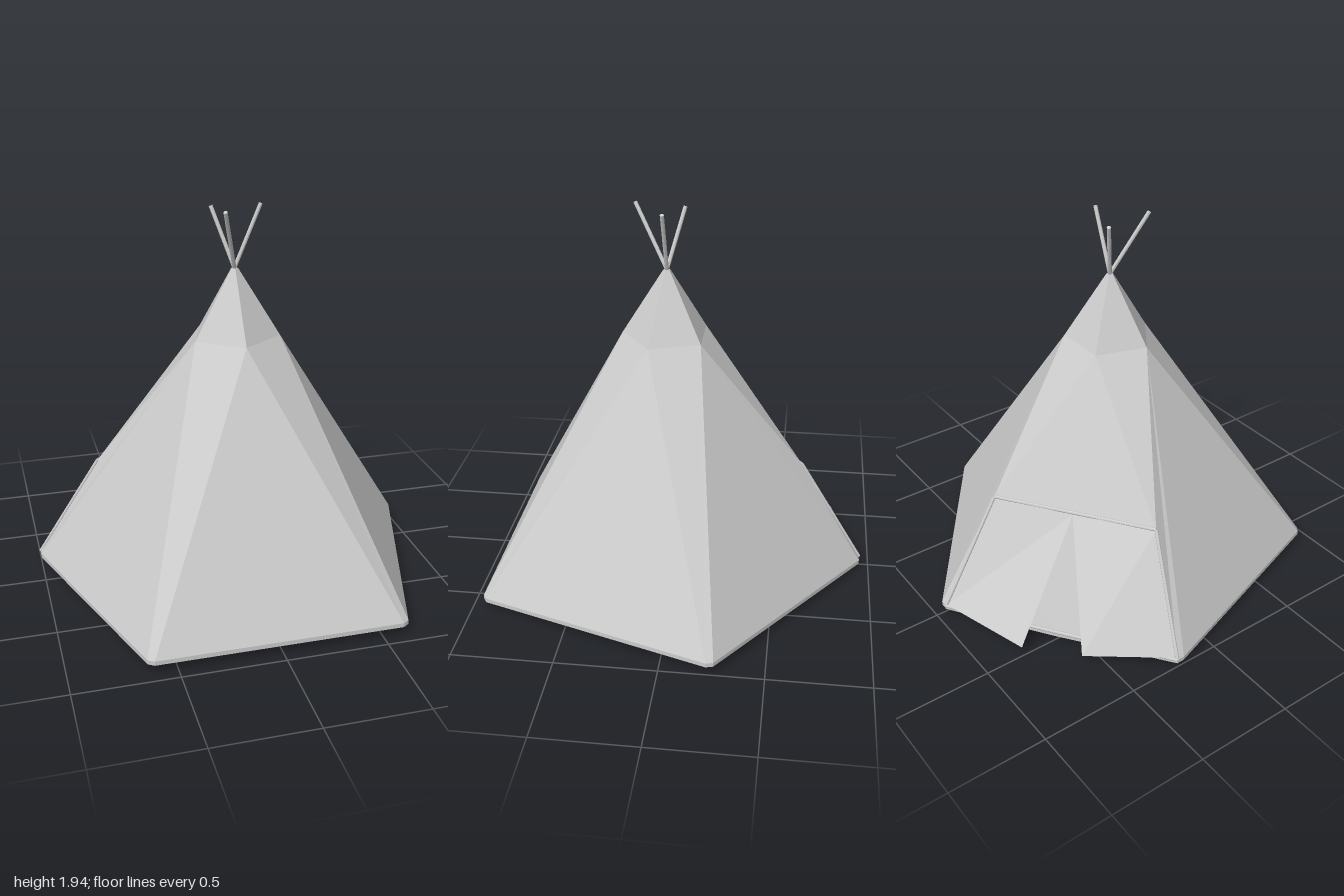
import * as THREE from 'three';

const material = new THREE.MeshStandardMaterial({ color: 0xcccccc, flatShading: true, side: THREE.DoubleSide });
const V = (x, y, z) => new THREE.Vector3(x, y, z);

// Flat panels: every polygon is a list of corners, counter-clockwise from outside
function panels(name, polygons) {
  const points = [];
  for (const p of polygons)
    for (let i = 1; i < p.length - 1; i++) points.push(p[0], p[i], p[i + 1]);
  const geometry = new THREE.BufferGeometry().setFromPoints(points);
  geometry.computeVertexNormals();
  const mesh = new THREE.Mesh(geometry, material);
  mesh.name = name;
  return mesh;
}

// Straight round rod between two points
function rod(name, a, b, radius, sides = 8) {
  const dir = b.clone().sub(a);
  const mesh = new THREE.Mesh(new THREE.CylinderGeometry(radius, radius, dir.length(), sides), material);
  mesh.position.copy(a).lerp(b, 0.5);
  mesh.quaternion.setFromUnitVectors(V(0, 1, 0), dir.normalize());
  mesh.name = name;
  return mesh;
}

export function createModel() {
  const group = new THREE.Group();

  // Five-sided foot with clipped corners: two points per corner
  const foot = [
    [V(-0.64, 0.065, 0.925), V(-0.61, 0.065, 0.945)],
    [V(0.6, 0.065, 0.945), V(0.63, 0.065, 0.925)],
    [V(1.0, 0.065, -0.225), V(0.99, 0.065, -0.26)],
    [V(0.03, 0.045, -0.95), V(-0.01, 0.045, -0.95)],
    [V(-1.0, 0.045, -0.235), V(-1.0, 0.045, -0.195)],
  ];

  // Shoulder and crown rings, turned half a side against the foot
  const ring = (radius, y) => foot.map((_, i) => {
    const a = i * Math.PI * 0.4;
    return V(-0.008 + radius * Math.sin(a), y, 0.08 + radius * Math.cos(a));
  });
  const shoulder = ring(0.225, 1.29);
  const crown = ring(0.018, 1.625);

  // Top corners of the doorway in the side between corners 3 and 4
  const doorA = V(0, 0.59, -0.625);
  const doorB = V(-0.685, 0.59, -0.135);
  const door = 3;

  const walls = [], corners = [], cap = [];
  for (let i = 0; i < 5; i++) {
    const next = (i + 1) % 5, prev = (i + 4) % 5;
    if (i === door) walls.push([doorA, doorB, shoulder[i]]);
    else walls.push([foot[i][1], foot[next][0], shoulder[i]]);
    if (i === door) {
      corners.push([foot[i][0], foot[i][1], doorA, shoulder[prev]], [doorA, shoulder[i], shoulder[prev]]);
    } else if (i === door + 1) {
      corners.push([foot[i][0], foot[i][1], shoulder[i], doorB], [doorB, shoulder[i], shoulder[prev]]);
    } else {
      corners.push([foot[i][0], foot[i][1], shoulder[i], shoulder[prev]]);
    }
    cap.push([shoulder[i], shoulder[next], crown[next], crown[i]]);
  }
  group.add(panels('wallPanels', walls), panels('cornerPanels', corners), panels('topCone', cap));
  group.add(panels('crownCap', [crown]));

  // Floor with a low rim, sagging at the threshold
  const sag = V(-0.48, 0.0, -0.595);
  const sagTop = V(-0.48, 0.03, -0.595);
  const rimTop = foot.flat();
  rimTop.splice(8, 0, sagTop);
  const rimLow = rimTop.map((p) => (p === sagTop ? sag : V(p.x, p.y - 0.022, p.z)));
  const rim = [], floor = [];
  rimTop.forEach((p, i) => {
    const n = (i + 1) % rimTop.length;
    rim.push([rimLow[i], rimLow[n], rimTop[n], p]);
    if (i !== 8 && n !== 8) floor.push([sag, rimLow[n], rimLow[i]]);
  });
  group.add(panels('floorRim', rim), panels('floor', floor));

  // Hem around the doorway
  const frame = new THREE.Group();
  frame.name = 'doorFrame';
  const sillA = foot[3][1], sillB = foot[4][0];
  frame.add(
    rod('doorPostA', sillA, doorA, 0.009),
    rod('doorPostB', sillB, doorB, 0.009),
    rod('doorLintel', doorA, doorB, 0.009),
    rod('doorSillA', sillA, sagTop, 0.009),
    rod('doorSillB', sagTop, sillB, 0.009),
  );
  group.add(frame);

  // Two door flaps meeting at the top and swung slightly outward
  const meet = doorA.clone().lerp(doorB, 0.5).add(V(-0.006, -0.005, -0.01));
  group.add(
    panels('doorFlapA', [[V(-0.01, 0.05, -0.945), V(-0.495, 0.05, -0.8), meet, doorA]]),
    panels('doorFlapB', [[V(-0.705, 0.04, -0.59), V(-0.99, 0.05, -0.235), doorB, meet]]),
  );

  // Three poles crossing at the crown
  const poleTips = [V(0.12, 1.935, 0.085), V(-0.095, 1.935, 0.245), V(-0.105, 1.918, 0)];
  for (const tip of poleTips) {
    const start = V(-0.008, 1.625, 0.08).lerp(tip, -0.06);
    group.add(rod('pole', start, tip, 0.01));
  }

  return group;
}
